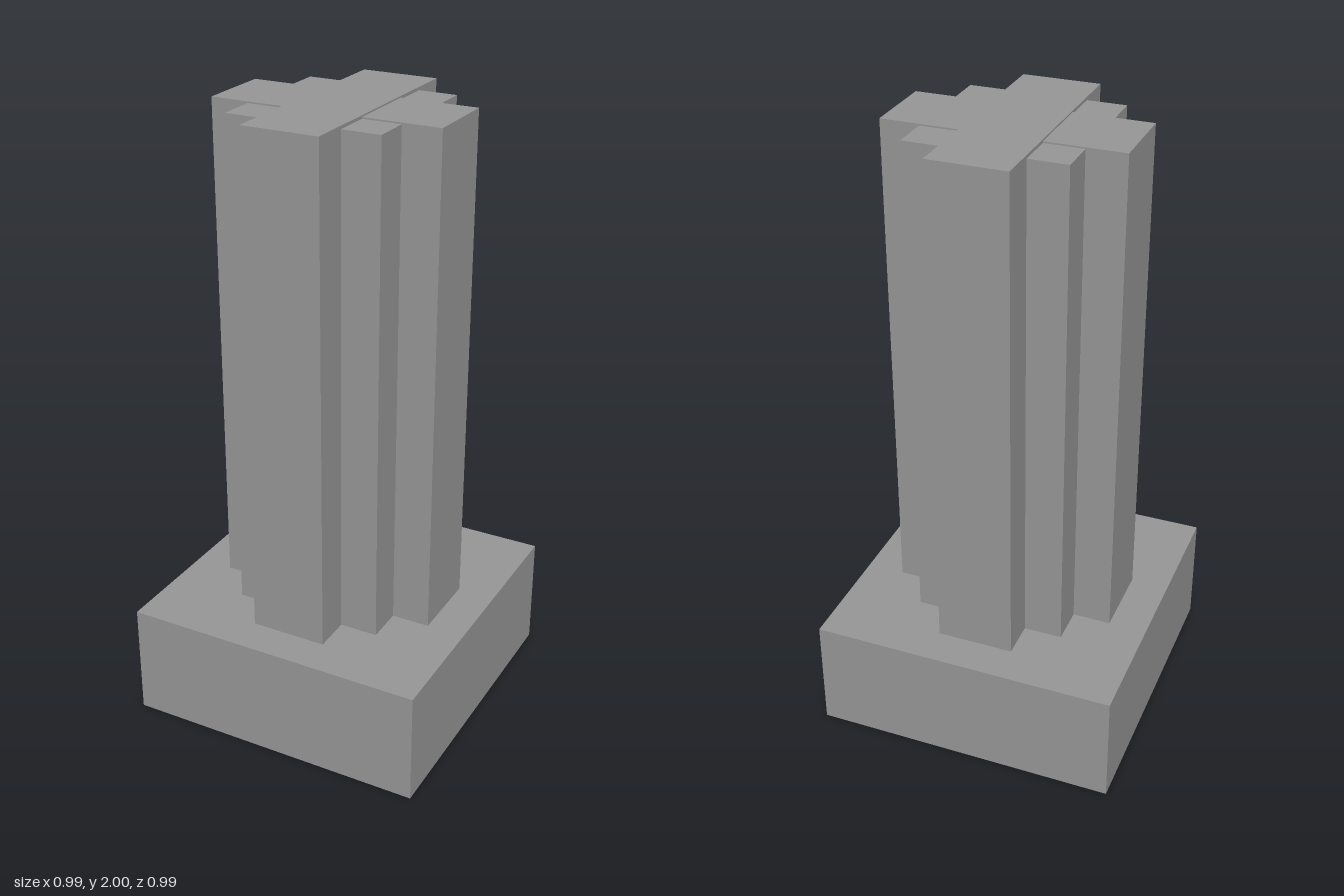
import * as THREE from 'three';

export function createModel() {
  const model = new THREE.Group();
  const stone = new THREE.MeshStandardMaterial({ color: 0x969696 });
  stone.name = 'grey stone';

  // Box resting on a given level
  const block = (name, width, depth, bottom, top) => {
    const mesh = new THREE.Mesh(new THREE.BoxGeometry(width, top - bottom, depth), stone);
    mesh.name = name;
    mesh.position.y = (bottom + top) / 2;
    model.add(mesh);
  };

  const unit = 0.2483;
  const baseTop = 0.3725;

  // Square plinth
  block('plinth', 4 * unit, 4 * unit, 0, baseTop);

  // Clustered shaft: two crossing slabs around a square core, each a little lower
  block('frontToBackSlab', unit, 3 * unit, baseTop, 2);
  block('sideToSideSlab', 3 * unit, unit, baseTop, 1.995);
  block('squareCore', 2 * unit, 2 * unit, baseTop, 1.99);

  return model;
}
